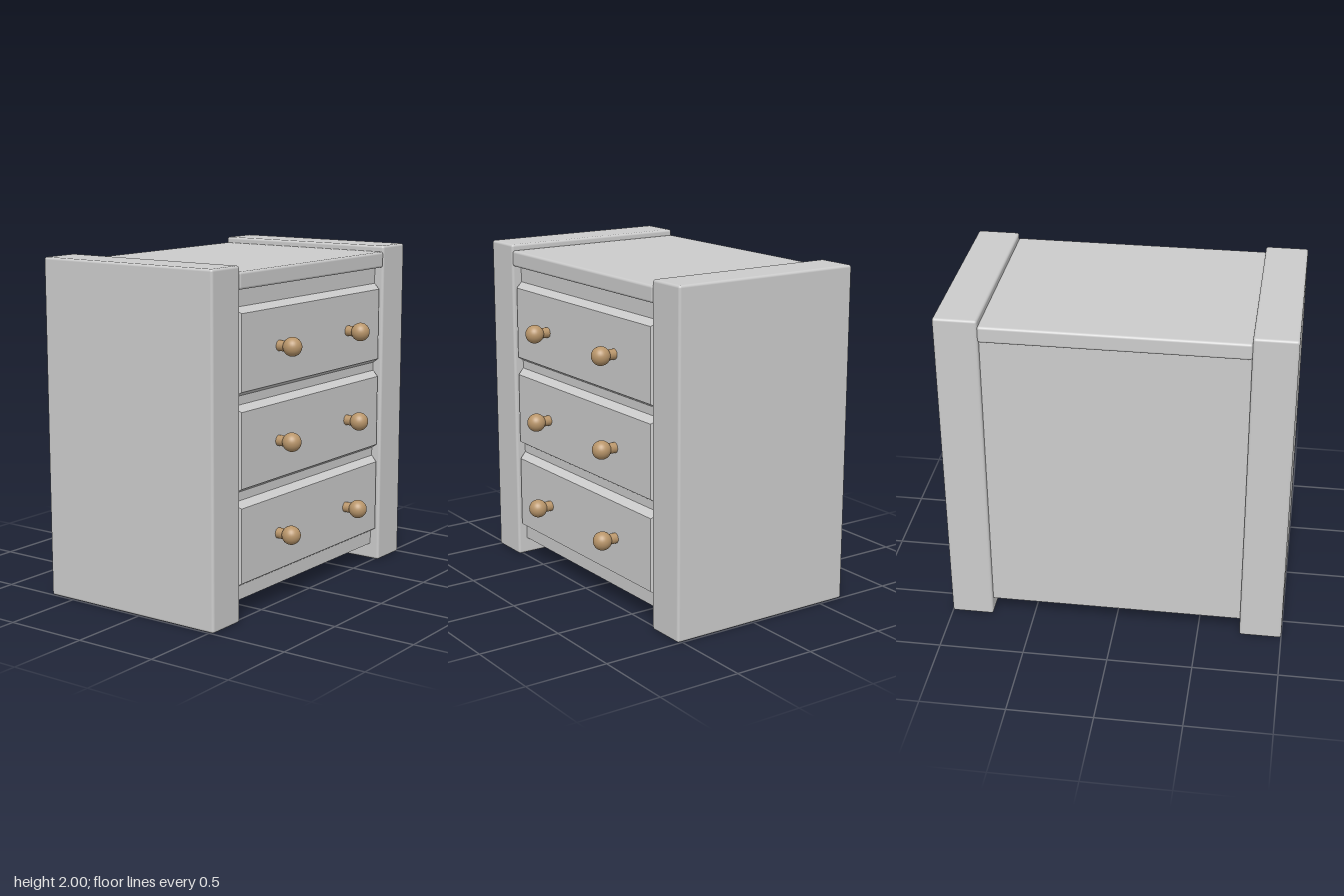
import * as THREE from 'three';
import { RoundedBoxGeometry } from 'three/addons/geometries/RoundedBoxGeometry.js';

const grey = new THREE.MeshStandardMaterial({ color: 0xcccccc });
const wood = new THREE.MeshStandardMaterial({ color: 0xb8956a });

const FRONT = 0.53, BACK = -0.665; // depth of the side panels and top
const DRAWER_FRONT = 0.52, FRAME_FRONT = 0.47;

function add(parent, name, geometry, material, x, y, z) {
  const mesh = new THREE.Mesh(geometry, material);
  mesh.name = name;
  mesh.position.set(x, y, z);
  parent.add(mesh);
  return mesh;
}

// Box whose front face is inset on all four sides
function bevelledFront(width, height, depth, inset) {
  const geometry = new THREE.BoxGeometry(width, height, depth);
  const p = geometry.attributes.position;
  for (let i = 0; i < p.count; i++) {
    if (p.getZ(i) > 0) {
      p.setX(i, p.getX(i) - Math.sign(p.getX(i)) * inset);
      p.setY(i, p.getY(i) - Math.sign(p.getY(i)) * inset);
    }
  }
  geometry.computeVertexNormals();
  return geometry;
}

export function createModel() {
  const model = new THREE.Group();
  model.name = 'chestOfDrawers';
  const depth = FRONT - BACK, midZ = (FRONT + BACK) / 2;

  // Thick side panels with softened edges
  for (const [name, s] of [['leftPanel', 1], ['rightPanel', -1]]) {
    add(model, name, new RoundedBoxGeometry(0.25, 2, depth, 3, 0.015), grey, s * 0.875, 1, midZ);
  }

  // Top board between the panels
  add(model, 'topBoard', new RoundedBoxGeometry(1.505, 0.097, depth, 3, 0.015), grey, 0, 1.9165, midZ);

  // Carcass, set back at the front and rear
  const carcassBack = -0.635;
  add(model, 'carcass', new THREE.BoxGeometry(1.504, 1.78, FRAME_FRONT - carcassBack), grey,
    0, 0.99, (FRAME_FRONT + carcassBack) / 2);

  // Drawers with bevelled fronts and a pair of knobs each
  const drawerDepth = DRAWER_FRONT - FRAME_FRONT;
  const frontGeometry = bevelledFront(1.502, 0.494, drawerDepth, 0.03);
  const stemGeometry = new THREE.CylinderGeometry(0.031, 0.031, 0.09, 24).rotateX(Math.PI / 2);
  const ballGeometry = new THREE.SphereGeometry(0.055, 32, 20);
  ['bottom', 'middle', 'top'].forEach((level, i) => {
    const drawer = new THREE.Group();
    drawer.name = level + 'Drawer';
    drawer.position.y = 0.43 + i * 0.545;
    model.add(drawer);
    add(drawer, 'drawerFront', frontGeometry, grey, 0, 0, FRAME_FRONT + drawerDepth / 2);
    for (const x of [-0.362, 0.362]) {
      const knob = new THREE.Group();
      knob.name = 'knob';
      knob.position.set(x, 0, DRAWER_FRONT);
      drawer.add(knob);
      add(knob, 'knobStem', stemGeometry, wood, 0, 0, 0.04);
      add(knob, 'knobBall', ballGeometry, wood, 0, 0, 0.09);
    }
  });

  return model;
}
